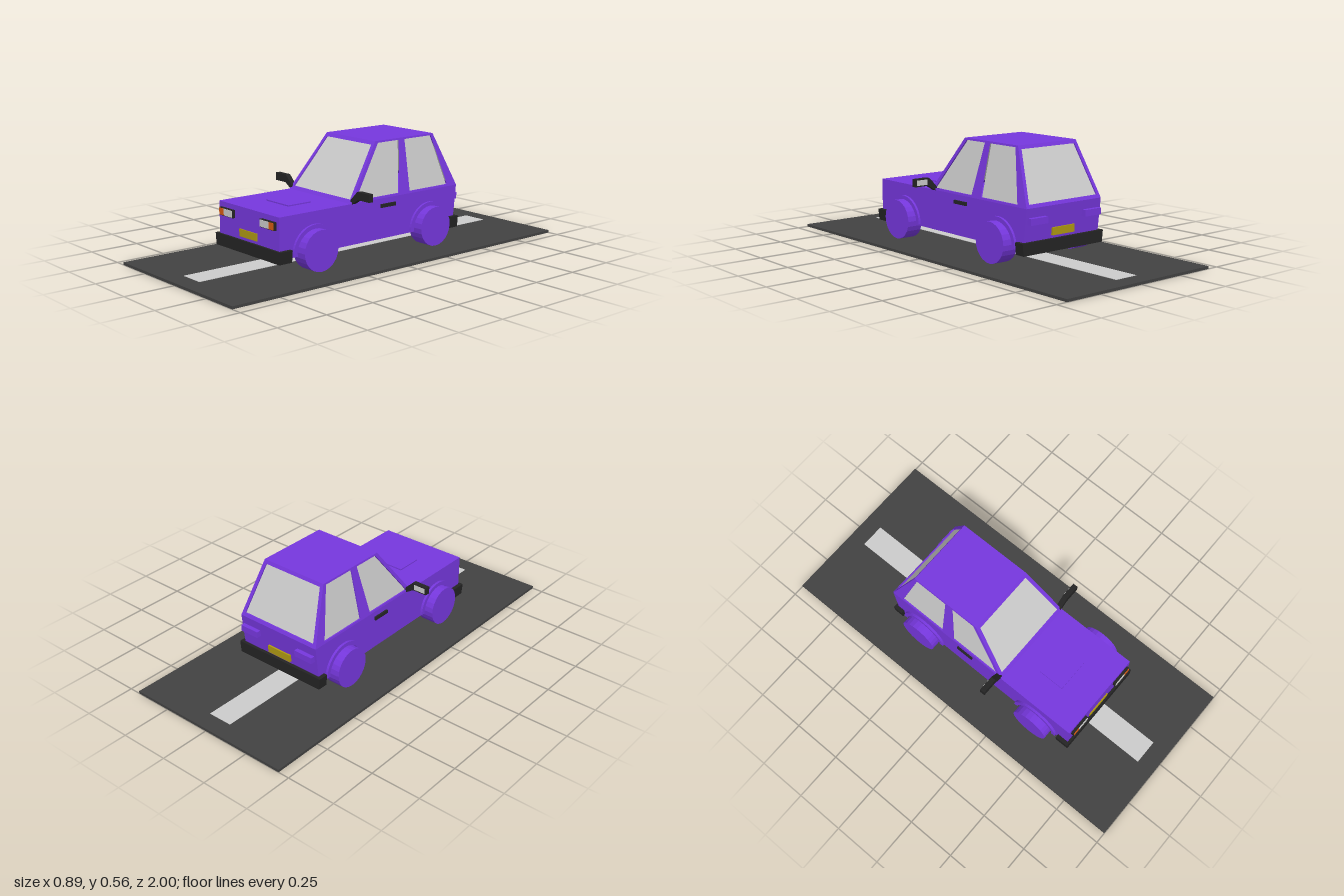
import * as THREE from 'three';

const mat = (color) => new THREE.MeshStandardMaterial({ color, flatShading: true });
const paint = mat(0x7637dd), dark = mat(0x242424), grey = mat(0xcccccc);
const gold = mat(0xae9812), orange = mat(0xd65a14), asphalt = mat(0x424242);

const shapeOf = (pts) => new THREE.Shape(pts.map(([x, y]) => new THREE.Vector2(x, y)));

// Extrude an outline (with holes) and optionally remap every vertex by a rule.
function slab(pts, depth, rule, holes = []) {
  const shape = shapeOf(pts);
  holes.forEach((h) => shape.holes.push(shapeOf(h)));
  const geo = new THREE.ExtrudeGeometry(shape, { depth, bevelEnabled: false });
  if (rule) {
    const p = geo.attributes.position;
    for (let i = 0; i < p.count; i++) p.setXYZ(i, ...rule(p.getX(i), p.getY(i), p.getZ(i)));
    geo.computeVertexNormals();
  }
  return geo;
}

export function createModel() {
  const model = new THREE.Group();
  model.name = 'carOnRoad';
  const add = (name, geo, material, parent = model) => {
    const mesh = new THREE.Mesh(geo, material);
    mesh.name = name;
    parent.add(mesh);
    return mesh;
  };
  // Box given by its minimum and maximum on each axis
  const box = (name, x0, x1, y0, y1, z0, z1, material, parent) => {
    const mesh = add(name, new THREE.BoxGeometry(x1 - x0, y1 - y0, z1 - z0), material, parent);
    mesh.position.set((x0 + x1) / 2, (y0 + y1) / 2, (z0 + z1) / 2);
    return mesh;
  };

  // Road
  box('road', -0.443, 0.443, 0, 0.013, -1, 1, asphalt);
  box('roadStripe', -0.063, 0.063, 0.01, 0.015, -0.91, 0.91, grey);

  // Lower body: side outline swept across the width
  const W = 0.233;
  add('lowerBody', slab(
    [[0.595, 0.09], [0.595, 0.287], [-0.519, 0.287], [-0.497, 0.09]],
    2 * W, (a, b, w) => [W - w, b, a]), paint);
  // the sweep above runs from +x to -x and keeps its outward winding
  box('hoodScoop', -0.085, 0.085, 0.28, 0.293, 0.295, 0.43, paint);

  // Cabin: four sloping frames with recessed glass
  const Y0 = 0.287, Y1 = 0.555, D = 0.014;
  const slope = (lo, hi) => (y) => lo + (hi - lo) * (y - Y0) / (Y1 - Y0);
  const halfWidth = slope(W, 0.18), frontZ = slope(0.177, -0.02), rearZ = slope(-0.519, -0.4);
  const cabin = new THREE.Group();
  cabin.name = 'cabin';
  model.add(cabin);

  const frame = (name, outline, windows, rule) => {
    add(name + 'Frame', slab(outline, D, rule, windows), paint, cabin);
    windows.forEach((win) => add(name + 'Glass',
      slab(win, D * 0.5, rule), grey, cabin));
  };
  const endOutline = [[-W, Y0], [W, Y0], [0.18, Y1], [-0.18, Y1]];
  const endWindow = [[-0.212, 0.302], [0.212, 0.302], [0.165, 0.538], [-0.165, 0.538]];
  frame('windshield', endOutline, [endWindow], (a, b, w) => [a, b, frontZ(b) - D + w]);
  frame('rearWindow', endOutline, [endWindow], (a, b, w) => [-a, b, rearZ(b) + D - w]);

  const sideOutline = [[0.177, Y0], [-0.02, Y1], [-0.4, Y1], [-0.519, Y0]];
  const sideWindows = [
    [[0.148, 0.297], [-0.036, 0.546], [-0.17, 0.546], [-0.13, 0.297]],
    [[-0.2, 0.297], [-0.208, 0.546], [-0.385, 0.546], [-0.455, 0.297]],
  ];
  for (const s of [1, -1]) {
    const turn = (pts) => pts.map(([z, y]) => [-s * z, y]);
    frame(s > 0 ? 'leftSide' : 'rightSide', turn(sideOutline), sideWindows.map(turn),
      (a, b, w) => [s * (halfWidth(b) - D + w), b, -s * a]);
  }
  box('roof', -0.18, 0.18, Y1 - 0.008, Y1, -0.4, -0.02, paint, cabin);

  // Bumpers, slightly narrower at the bottom
  const bumper = (name, z0, z1) => add(name, slab(
    [[-0.247, 0.073], [0.247, 0.073], [0.253, 0.131], [-0.253, 0.131]],
    z1 - z0, (a, b, w) => [a, b, z0 + w]), dark);
  bumper('frontBumper', 0.536, 0.607);
  bumper('rearBumper', -0.517, -0.465);

  // Number plates
  box('frontPlate', -0.068, 0.068, 0.146, 0.182, 0.59, 0.6, gold);
  box('rearPlate', -0.068, 0.068, 0.146, 0.182, -0.516, -0.49, gold);

  // Half-ring wheel arch outline
  const arch = new THREE.Shape();
  arch.absarc(0, 0, 0.128, 0, Math.PI, false);
  arch.absarc(0, 0, 0.108, Math.PI, 0, true);
  const archGeo = new THREE.ExtrudeGeometry(arch, { depth: 0.03, bevelEnabled: false, curveSegments: 12 });
  archGeo.rotateY(Math.PI / 2).translate(-0.015, 0, 0);
  const wheelGeo = new THREE.CylinderGeometry(0.098, 0.098, 0.083, 24).rotateZ(Math.PI / 2);

  for (const s of [1, -1]) {
    const side = s > 0 ? 'left' : 'right';
    // Box mirrored to this side
    const sideBox = (name, x0, x1, ...rest) =>
      box(side + name, Math.min(s * x0, s * x1), Math.max(s * x0, s * x1), ...rest);

    // Wheels and arches
    for (const [end, z] of [['Front', 0.396], ['Rear', -0.326]]) {
      add(side + end + 'Wheel', wheelGeo, paint).position.set(s * 0.245, 0.111, z);
      add(side + end + 'Arch', archGeo, paint).position.set(s * 0.23, 0.1, z);
    }

    // Lamps
    sideBox('LampHousing', 0.107, 0.214, 0.224, 0.262, 0.59, 0.609, dark);
    sideBox('Headlight', 0.11, 0.174, 0.227, 0.259, 0.6, 0.612, grey);
    sideBox('TurnSignal', 0.177, 0.211, 0.227, 0.259, 0.6, 0.612, orange);
    sideBox('TailLight', 0.117, 0.22, 0.212, 0.243, -0.536, -0.5, paint);

    // Door handle
    sideBox('DoorHandle', 0.225, 0.242, 0.243, 0.26, -0.1, -0.008, dark);

    // Wing mirror: arm and head in one outline, glass facing back
    add(side + 'Mirror', slab(
      [[0.352, 0.312], [0.352, 0.35], [0.27, 0.35], [0.222, 0.303], [0.222, 0.278], [0.275, 0.312]]
        .map(([x, y]) => [s * x, y]),
      0.026, (a, b, w) => [a, b, 0.145 + w]), dark);
    sideBox('MirrorGlass', 0.282, 0.343, 0.318, 0.344, 0.143, 0.15, grey);
  }
  return model;
}
